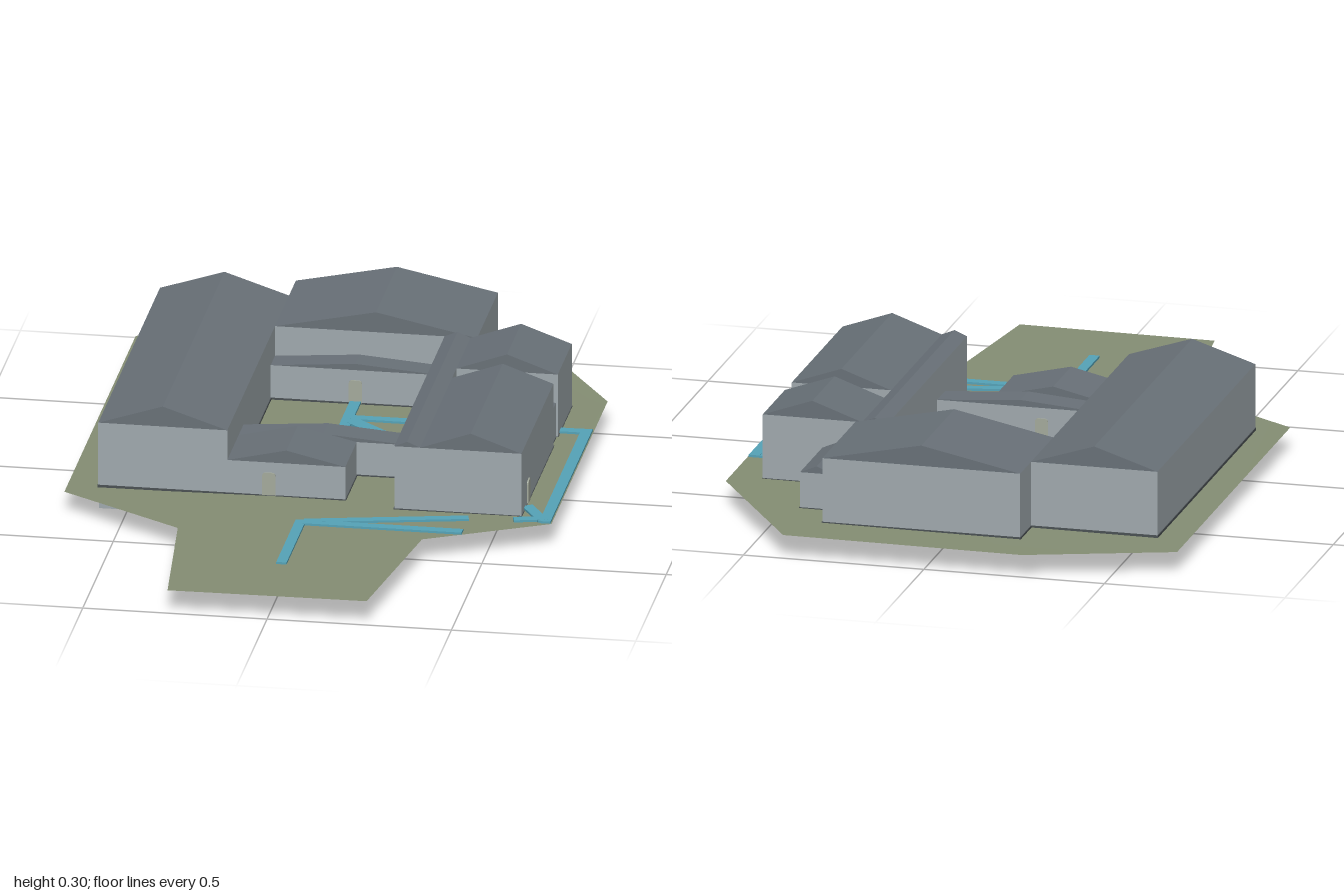
import * as THREE from 'three';

const mat = (name, color, side = THREE.FrontSide) => {
  const m = new THREE.MeshStandardMaterial({ color, side });
  m.name = name;
  return m;
};

export function createModel() {
  const model = new THREE.Group();
  model.name = 'courtyardBuilding';
  const wall = mat('wall grey', 0xa0a9ae);
  const roof = mat('roof slate', 0x697178);
  const footing = mat('footing dark grey', 0x4a5053);
  const grass = mat('ground olive', 0x858e74, THREE.DoubleSide);
  const path = mat('path blue', 0x55a3b8);
  const door = mat('door pale grey', 0xa4aa9c);
  const FLOOR = 0.057;

  const add = (parent, name, geometry, material) => {
    const mesh = new THREE.Mesh(geometry, material);
    mesh.name = name;
    parent.add(mesh);
    return mesh;
  };
  const block = (parent, name, x0, x1, y0, y1, z0, z1, material) => {
    const m = add(parent, name, new THREE.BoxGeometry(x1 - x0, y1 - y0, z1 - z0), material);
    m.position.set((x0 + x1) / 2, (y0 + y1) / 2, (z0 + z1) / 2);
    return m;
  };

  // A wing: walls, a thin footing and a gabled roof whose ridge runs along z
  const wing = (name, x0, x1, z0, z1, eaves, ridge, ridgeX = (x0 + x1) / 2) => {
    const g = new THREE.Group();
    g.name = name;
    block(g, 'walls', x0, x1, FLOOR, eaves, z0, z1, wall);
    block(g, 'footing', x0 - 0.002, x1 + 0.002, FLOOR + 0.001, 0.067, z0 - 0.002, z1 + 0.002, footing);
    const gable = new THREE.Shape([
      new THREE.Vector2(x0, eaves), new THREE.Vector2(x1, eaves), new THREE.Vector2(ridgeX, ridge),
    ]);
    const prism = new THREE.ExtrudeGeometry(gable, { depth: z1 - z0, bevelEnabled: false });
    add(g, 'roof', prism.translate(0, 0, z0), roof);
    model.add(g);
  };
  wing('westWing', -0.58, -0.23, -0.75, 0.262, 0.245, 0.302);
  wing('northWing', -0.23, 0.318, -0.862, -0.52, 0.245, 0.302);
  wing('eastWingFront', 0.3, 0.575, -0.22, 0.305, 0.245, 0.294);
  wing('eastWingBack', 0.3, 0.575, -0.52, -0.29, 0.245, 0.294);
  wing('eastLink', 0.3, 0.57, -0.29, -0.22, 0.163, 0.182);
  wing('eastCorridor', 0.23, 0.3, -0.52, 0.305, 0.245, 0.26);
  wing('northCorridor', -0.23, 0.23, -0.52, -0.45, 0.16, 0.178);
  wing('southCorridor', -0.23, 0.23, -0.005, 0.075, 0.16, 0.178);
  wing('entranceHall', -0.23, 0.09, 0.075, 0.262, 0.16, 0.197);
  wing('northEastAnnex', 0.318, 0.41, -0.75, -0.52, 0.165, 0.185);
  block(model, 'basement', -0.578, -0.3, 0, FLOOR + 0.002, -0.445, 0.262, wall);

  // Ground sheet, slightly tilted and rising towards the front
  const outline = [[-0.27, -1], [0.39, -1], [0.664, -0.57], [0.664, 0.35], [0.34, 0.515],
    [0.27, 1], [-0.27, 1], [-0.32, 0.53], [-0.664, 0.31], [-0.664, -0.86]];
  const groundShape = new THREE.Shape(outline.map(([x, z]) => new THREE.Vector2(x, -z)));
  const ground = new THREE.ShapeGeometry(groundShape).rotateX(-Math.PI / 2);
  const p = ground.attributes.position;
  for (let i = 0; i < p.count; i++) {
    p.setY(i, 0.063 + 0.005 * p.getX(i) + 0.008 * Math.max(0, p.getZ(i) - 0.5));
  }
  ground.computeVertexNormals();
  add(model, 'ground', ground, grass);

  // Footpaths as flat strips: x0, z0, x1, z1, width
  const paths = new THREE.Group();
  paths.name = 'footpaths';
  [
    [0, -0.45, 0, 0, 0.03], [0.01, -0.32, -0.06, 0, 0.028], [0, -0.33, 0.66, -0.33, 0.028],
    [0.01, -0.31, 0.25, -0.1, 0.04], [0.646, -0.344, 0.646, 0.35, 0.03],
    [0.58, 0.24, 0.64, 0.34, 0.03], [0.56, 0.345, 0.64, 0.325, 0.026],
    [0, 0.445, 0, 0.765, 0.028], [0, 0.457, 0.44, 0.457, 0.028], [0.01, 0.45, 0.44, 0.355, 0.026],
  ].forEach(([x0, z0, x1, z1, w], i) => {
    const strip = add(paths, 'path' + (i + 1),
      new THREE.BoxGeometry(Math.hypot(x1 - x0, z1 - z0), 0.006, w), path);
    strip.position.set((x0 + x1) / 2, 0.069 + i * 0.0002, (z0 + z1) / 2);
    strip.rotation.y = -Math.atan2(z1 - z0, x1 - x0);
  });
  model.add(paths);

  // Arched doors as thin plates: name, x, z, turn
  const arch = new THREE.Shape();
  arch.moveTo(-0.018, 0);
  arch.lineTo(0.018, 0);
  arch.lineTo(0.018, 0.054);
  arch.quadraticCurveTo(0.018, 0.064, 0.008, 0.064);
  arch.lineTo(-0.008, 0.064);
  arch.quadraticCurveTo(-0.018, 0.064, -0.018, 0.054);
  const plate = new THREE.ExtrudeGeometry(arch, { depth: 0.004, bevelEnabled: false, curveSegments: 4 });
  [
    ['entranceDoor', -0.117, 0.262, 0], ['eastDoor', 0.575, 0.195, Math.PI / 2],
    ['northCourtDoor', 0, -0.45, 0], ['southCourtDoor', -0.06, -0.005, Math.PI],
    ['eastCourtDoor', 0.23, -0.33, -Math.PI / 2],
  ].forEach(([name, x, z, turn]) => {
    const d = add(model, name, plate, door);
    d.position.set(x, 0.067, z);
    d.rotation.y = turn;
  });

  return model;
}
